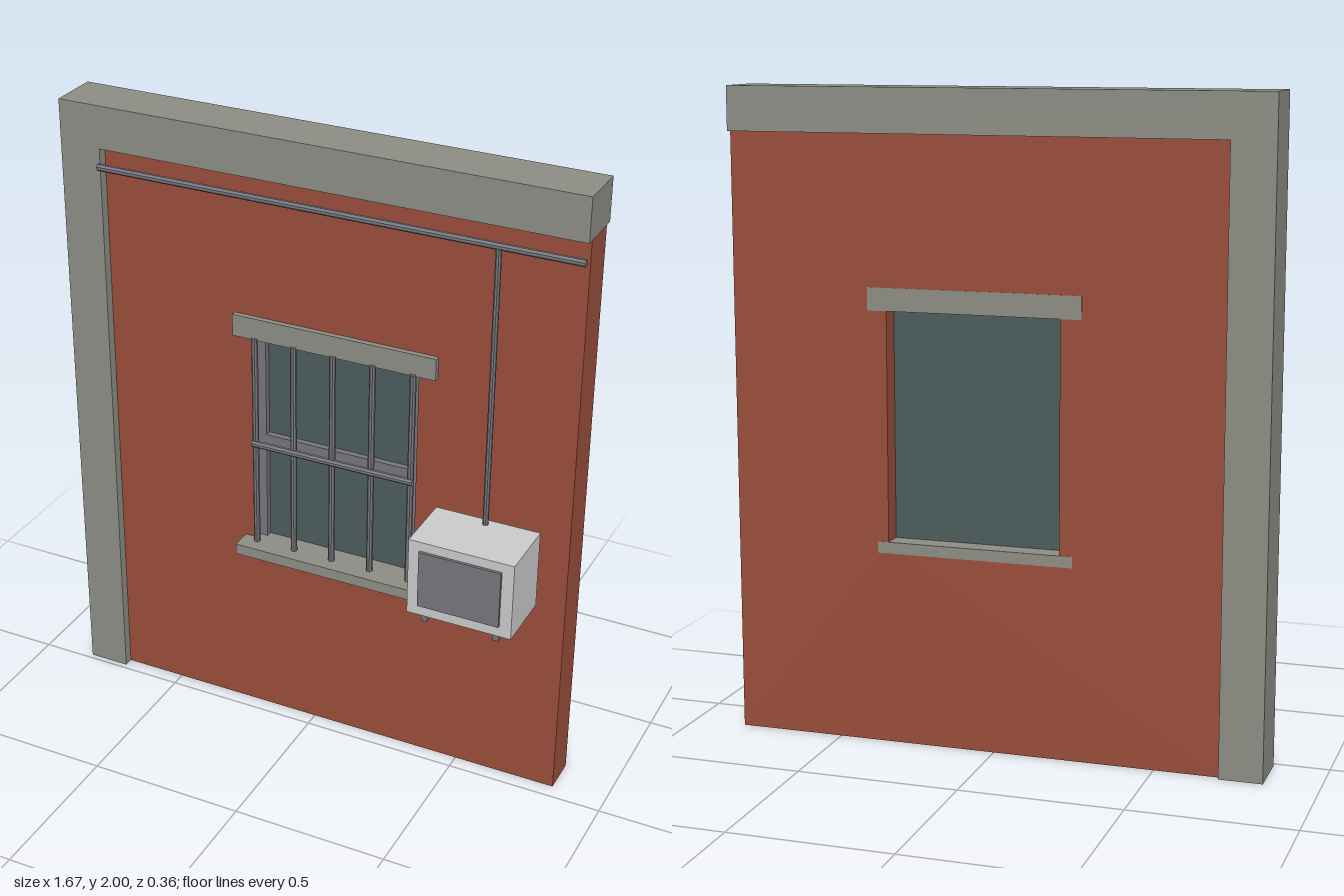
import * as THREE from 'three';

const paint = (name, color) => {
  const m = new THREE.MeshStandardMaterial({ color });
  m.name = name;
  return m;
};

export function createModel() {
  const model = new THREE.Group();
  model.name = 'wallSection';
  const brick = paint('brick red', 0x984d3a);
  const concrete = paint('concrete grey', 0x8c8c84);
  const metal = paint('dark metal', 0x74747b);
  const casing = paint('pale casing', 0xc9c9c9);
  const glass = paint('window glass', 0x4b5b5c);

  const add = (name, geometry, material, parent = model) => {
    const mesh = new THREE.Mesh(geometry, material);
    mesh.name = name;
    parent.add(mesh);
    return mesh;
  };
  // Box given by its extents on each axis
  const box = (name, material, [x0, x1], [y0, y1], [z0, z1], parent) => {
    const g = new THREE.BoxGeometry(x1 - x0, y1 - y0, z1 - z0);
    g.translate((x0 + x1) / 2, (y0 + y1) / 2, (z0 + z1) / 2);
    return add(name, g, material, parent);
  };
  // Eight-sided rod, upright or lying along x
  const rod = (name, from, to, r, parent) => {
    const a = new THREE.Vector3(...from), b = new THREE.Vector3(...to);
    const g = new THREE.CylinderGeometry(r, r, a.distanceTo(b), 8).toNonIndexed();
    g.rotateY(Math.PI / 8);
    if (a.y === b.y) g.rotateZ(-Math.PI / 2);
    g.computeVertexNormals();
    return add(name, g, metal, parent).position.copy(a.add(b).multiplyScalar(0.5));
  };

  // Brick panel with the window opening
  const outline = new THREE.Shape();
  outline.moveTo(-0.7, 0).lineTo(0.83, 0).lineTo(0.83, 1.865).lineTo(-0.7, 1.865).closePath();
  const opening = new THREE.Path();
  opening.moveTo(-0.205, 0.625).lineTo(-0.205, 1.35).lineTo(0.335, 1.35).lineTo(0.335, 0.625).closePath();
  outline.holes.push(opening);
  const panel = new THREE.ExtrudeGeometry(outline, { depth: 0.117, bevelEnabled: false });
  panel.translate(0, 0, -0.165);
  add('brickPanel', panel, brick);

  // Concrete post and beam
  box('post', concrete, [-0.833, -0.7], [0, 1.865], [-0.181, -0.017]);
  box('beam', concrete, [-0.833, 0.833], [1.865, 2], [-0.181, -0.017]);

  // Window: lintel, sill, frame, glass
  const win = new THREE.Group();
  win.name = 'window';
  model.add(win);
  box('lintel', concrete, [-0.27, 0.395], [1.34, 1.41], [-0.166, -0.03], win);
  box('sill', concrete, [-0.245, 0.37], [0.598, 0.633], [-0.166, 0.02], win);
  box('glassPane', glass, [-0.205, 0.335], [0.63, 1.345], [-0.102, -0.09], win);
  for (const x of [-0.205, 0.309]) {
    box('frameStile', metal, [x, x + 0.026], [0.63, 1.345], [-0.1, -0.07], win);
  }
  box('frameRail', metal, [-0.18, 0.31], [0.97, 1.0], [-0.1, -0.07], win);

  // Security bars
  for (let i = 0; i < 5; i++) {
    const x = -0.195 + i * 0.13;
    rod('securityBar', [x, 0.63, -0.03], [x, 1.345, -0.03], 0.01, win);
  }
  rod('securityCrossBar', [-0.205, 0.986, -0.025], [0.335, 0.986, -0.025], 0.011, win);

  // Air conditioner on two brackets
  const unit = new THREE.Group();
  unit.name = 'airConditioner';
  model.add(unit);
  box('casing', casing, [0.412, 0.743], [0.668, 0.92], [-0.03, 0.173], unit);
  box('grille', metal, [0.448, 0.706], [0.704, 0.89], [0.17, 0.182], unit);
  for (const x of [0.45, 0.678]) {
    box('bracket', metal, [x, x + 0.02], [0.635, 0.67], [-0.05, 0.153], unit);
  }

  // Conduit running under the beam and down to the unit
  rod('mainConduit', [-0.7, 1.812, -0.005], [0.833, 1.812, -0.005], 0.011);
  rod('dropConduit', [0.58, 0.91, -0.005], [0.58, 1.81, -0.005], 0.009);

  return model;
}
